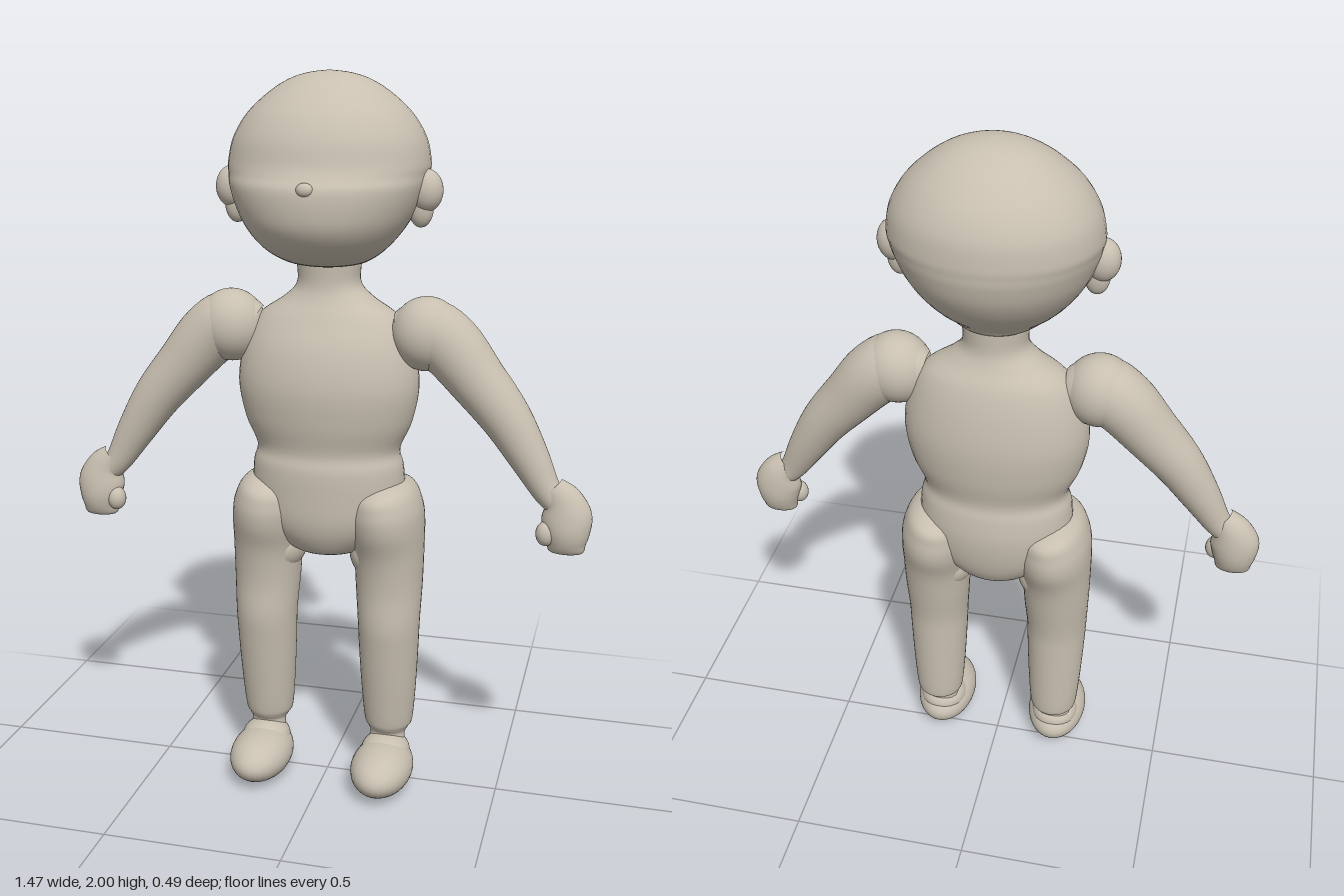
import * as THREE from 'three';

const clay = new THREE.MeshStandardMaterial({ color: 0xc8bfb0 });
clay.name = 'clay';

// Uniform Catmull-Rom through one column of the section rows
function spline(rows, col, t) {
  const n = rows.length - 1;
  const i = Math.min(Math.floor(t), n - 1), u = t - i;
  const at = (k) => rows[Math.max(0, Math.min(n, k))][col];
  const [a, b, c, d] = [at(i - 1), at(i), at(i + 1), at(i + 2)];
  return 0.5 * (2 * b + (c - a) * u + (2 * a - 5 * b + 4 * c - d) * u * u + (3 * b - a - 3 * c + d) * u ** 3);
}

// Smooth skin over oval sections, each row: [x, y, half width, front z, back z]
function loft(name, rows, sides = 40, steps = 5) {
  const pos = [], index = [];
  const rings = (rows.length - 1) * steps;
  for (let i = 0; i <= rings; i++) {
    const t = i / steps;
    const [x, y, w, front, back] = [0, 1, 2, 3, 4].map((c) => spline(rows, c, t));
    const t0 = Math.max(0, t - 0.1), t1 = Math.min(rows.length - 1, t + 0.1);
    const dir = new THREE.Vector2(
      spline(rows, 0, t1) - spline(rows, 0, t0),
      spline(rows, 1, t1) - spline(rows, 1, t0)).normalize();
    const half = Math.max(w, 0), mid = (front + back) / 2, depth = Math.max((front - back) / 2, 0);
    for (let j = 0; j < sides; j++) {
      const a = (j / sides) * Math.PI * 2, c = Math.cos(a) * half;
      pos.push(x + dir.y * c, y - dir.x * c, mid + Math.sin(a) * depth);
      if (i < rings) {
        const p = i * sides + j, q = i * sides + ((j + 1) % sides);
        index.push(p, p + sides, q, q, p + sides, q + sides);
      }
    }
  }
  const geo = new THREE.BufferGeometry();
  geo.setAttribute('position', new THREE.Float32BufferAttribute(pos, 3));
  geo.setIndex(index);
  geo.computeVertexNormals();
  return named(name, geo);
}

function named(name, geo) {
  const mesh = new THREE.Mesh(geo, clay);
  mesh.name = name;
  return mesh;
}

function ellipsoid(name, center, radii) {
  const mesh = named(name, new THREE.SphereGeometry(1, 32, 24));
  mesh.position.set(...center);
  mesh.scale.set(...radii);
  return mesh;
}

// Moves rows to the given side of the body
const onSide = (rows, s) => rows.map(([x, ...rest]) => [x * s, ...rest]);

export function createModel() {
  const model = new THREE.Group();
  model.name = 'figure';

  // Pelvis, belly, chest and neck in one skin
  model.add(loft('torso', [
    [0, 0.688, 0, -0.01, -0.01],
    [0, 0.70, 0.09, 0.07, -0.09],
    [0, 0.74, 0.15, 0.105, -0.125],
    [0, 0.80, 0.20, 0.125, -0.145],
    [0, 0.88, 0.215, 0.13, -0.155],
    [0, 0.95, 0.212, 0.13, -0.15],
    [0, 1.00, 0.202, 0.122, -0.142],
    [0, 1.08, 0.235, 0.138, -0.157],
    [0, 1.18, 0.252, 0.147, -0.165],
    [0, 1.28, 0.235, 0.13, -0.155],
    [0, 1.36, 0.195, 0.095, -0.135],
    [0, 1.41, 0.125, 0.07, -0.11],
    [0, 1.45, 0.088, 0.06, -0.097],
    [0, 1.51, 0.088, 0.062, -0.098],
    [0, 1.58, 0.09, 0.065, -0.10],
  ]));

  // Head with the full muzzle stepping out below the brow
  model.add(loft('head', [
    [0, 1.495, 0, 0, -0.02],
    [0, 1.505, 0.09, 0.085, -0.09],
    [0, 1.53, 0.14, 0.15, -0.115],
    [0, 1.565, 0.18, 0.20, -0.155],
    [0, 1.61, 0.215, 0.231, -0.195],
    [0, 1.66, 0.242, 0.241, -0.225],
    [0, 1.71, 0.26, 0.239, -0.241],
    [0, 1.74, 0.266, 0.222, -0.245],
    [0, 1.77, 0.269, 0.208, -0.246],
    [0, 1.83, 0.256, 0.192, -0.238],
    [0, 1.89, 0.22, 0.16, -0.208],
    [0, 1.94, 0.167, 0.113, -0.162],
    [0, 1.975, 0.112, 0.065, -0.111],
    [0, 1.993, 0.058, 0.025, -0.068],
    [0, 2.0, 0, -0.02, -0.02],
  ], 48));
  model.add(ellipsoid('nose', [0, 1.715, 0.232], [0.022, 0.018, 0.016]));

  for (const s of [1, -1]) {
    const side = s > 0 ? 'left' : 'right';

    model.add(ellipsoid(side + 'Ear', [s * 0.262, 1.70, 0], [0.045, 0.056, 0.042]));
    model.add(ellipsoid(side + 'EarLobe', [s * 0.25, 1.655, 0], [0.033, 0.05, 0.026]));

    // Shoulder ball and tapering arm
    model.add(ellipsoid(side + 'Shoulder', [s * 0.272, 1.325, 0], [0.096, 0.1, 0.088]));
    model.add(loft(side + 'Arm', onSide([
      [0.635, 0.895, 0.035, 0.068, 0.0],
      [0.605, 0.93, 0.04, 0.07, -0.008],
      [0.555, 1.015, 0.054, 0.076, -0.03],
      [0.49, 1.115, 0.067, 0.081, -0.052],
      [0.41, 1.21, 0.077, 0.082, -0.07],
      [0.335, 1.295, 0.087, 0.083, -0.084],
      [0.27, 1.335, 0.085, 0.08, -0.08],
      [0.20, 1.32, 0.06, 0.05, -0.06],
    ], s)));

    // Mitten hand, blunt at the fingertips, with a thumb on the inner side
    model.add(loft(side + 'Hand', onSide([
      [0.667, 0.757, 0, 0.04, 0.04],
      [0.667, 0.76, 0.043, 0.065, 0.015],
      [0.667, 0.785, 0.052, 0.08, -0.002],
      [0.667, 0.82, 0.062, 0.087, -0.012],
      [0.664, 0.86, 0.067, 0.084, -0.014],
      [0.65, 0.90, 0.054, 0.075, -0.01],
      [0.62, 0.935, 0.036, 0.066, 0.002],
    ], s), 32));
    model.add(ellipsoid(side + 'Thumb', [s * 0.613, 0.812, 0.055], [0.027, 0.034, 0.026]));

    // Leg from ankle to rounded hip
    model.add(loft(side + 'Leg', onSide([
      [0.18, 0.10, 0.055, 0.045, -0.04],
      [0.18, 0.145, 0.05, 0.035, -0.04],
      [0.18, 0.165, 0.06, 0.045, -0.07],
      [0.18, 0.19, 0.07, 0.053, -0.08],
      [0.18, 0.30, 0.079, 0.069, -0.083],
      [0.18, 0.42, 0.085, 0.085, -0.085],
      [0.18, 0.50, 0.088, 0.094, -0.088],
      [0.178, 0.60, 0.094, 0.092, -0.105],
      [0.176, 0.70, 0.098, 0.105, -0.125],
      [0.17, 0.78, 0.104, 0.131, -0.153],
      [0.165, 0.84, 0.10, 0.135, -0.155],
      [0.16, 0.89, 0.075, 0.11, -0.135],
      [0.155, 0.92, 0, -0.01, -0.01],
    ], s)));

    // Thigh web that rounds the arch between the legs
    model.add(ellipsoid(side + 'InnerThigh', [s * 0.125, 0.70, -0.01], [0.06, 0.075, 0.085]));

    model.add(ellipsoid(side + 'Foot', [s * 0.18, 0.07, 0.073], [0.088, 0.07, 0.138]));
    model.add(ellipsoid(side + 'Instep', [s * 0.18, 0.10, 0.025], [0.07, 0.05, 0.075]));
  }
  return model;
}
